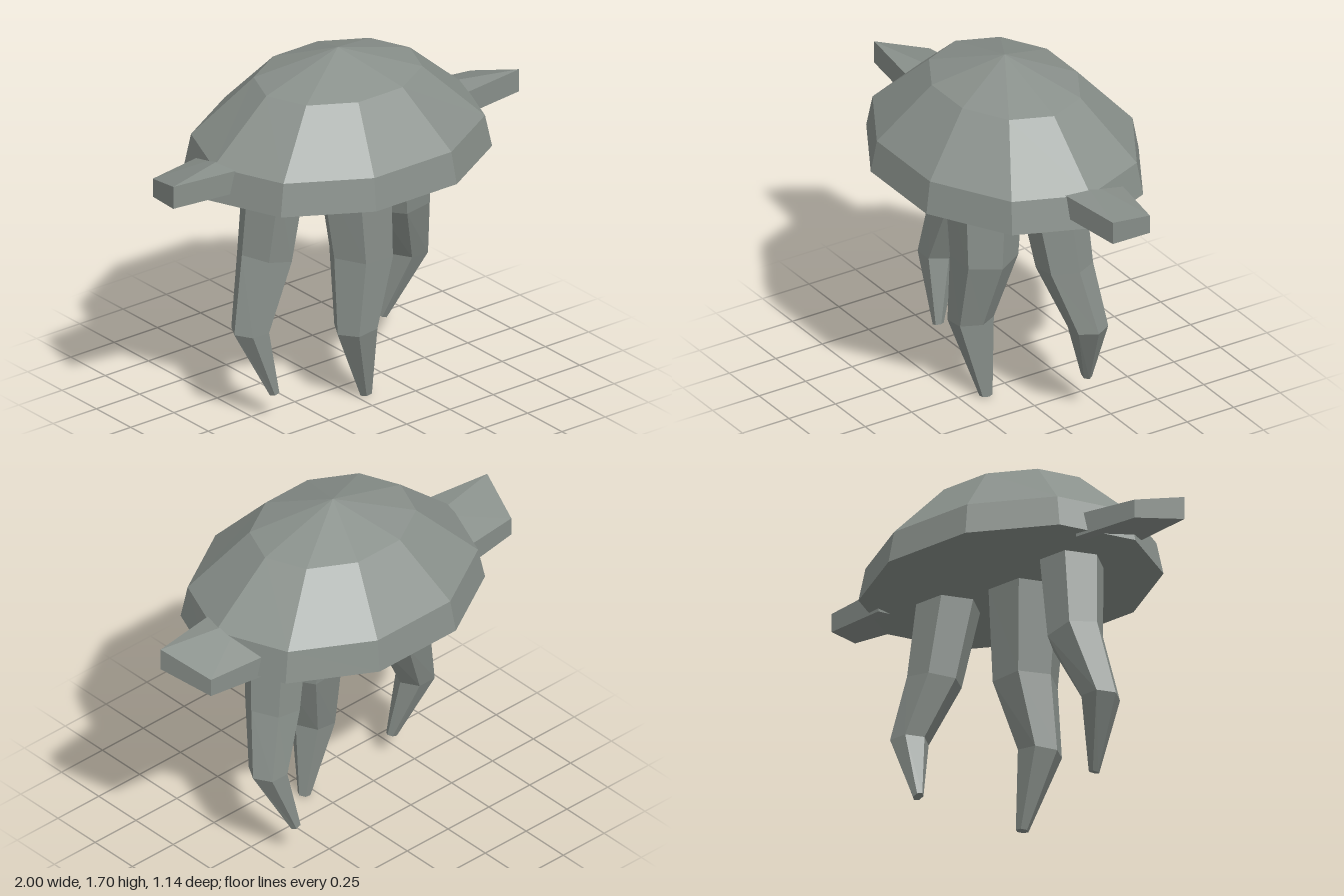
import * as THREE from 'three';

const V = (x, y, z) => new THREE.Vector3(x, y, z);

// Flat-faced skin over a stack of rings (bottom to top), closed by fans at both ends
function loft(rings, bottom, top) {
  const pos = [];
  const tri = (a, b, c) => {
    const area = b.clone().sub(a).cross(c.clone().sub(a)).length();
    if (area > 1e-7) for (const p of [a, b, c]) pos.push(p.x, p.y, p.z);
  };
  const n = rings[0].length;
  const last = rings[rings.length - 1];
  for (let i = 0; i < n; i++) {
    const j = (i + 1) % n;
    for (let r = 0; r < rings.length - 1; r++) {
      const lo = rings[r], hi = rings[r + 1];
      tri(lo[i], hi[i], hi[j]);
      tri(lo[i], hi[j], lo[j]);
    }
    tri(bottom, rings[0][i], rings[0][j]);
    tri(top, last[j], last[i]);
  }
  const geo = new THREE.BufferGeometry();
  geo.setAttribute('position', new THREE.Float32BufferAttribute(pos, 3));
  geo.computeVertexNormals();
  return geo;
}

// Elliptical ring of n points, optionally tilted along x
function ring(n, x, y, z, rx, rz, tilt = 0) {
  return Array.from({ length: n }, (_, i) => {
    const a = (i / n) * Math.PI * 2;
    const dx = Math.cos(a) * rx;
    return V(x + dx, y + dx * tilt, z + Math.sin(a) * rz);
  });
}

export function createModel() {
  const group = new THREE.Group();
  const skin = new THREE.MeshStandardMaterial({ color: 0x89908b });
  skin.name = 'greyGreenSkin';
  const add = (name, geo) => {
    const mesh = new THREE.Mesh(geo, skin);
    mesh.name = name;
    group.add(mesh);
  };

  // Ten-sided bell
  const bell = [[1.165, 0.755, 0.6], [1.32, 0.72, 0.573], [1.585, 0.415, 0.326]];
  add('bell', loft(bell.map(([y, rx, rz]) => ring(10, 0, y, 0, rx, rz)), V(0, 1.165, 0), V(0, 1.71, 0)));

  // Side fins: x, z, lower y, upper y of each corner; the third is the root ridge
  const corners = [
    [1, 0.06, 1.215, 1.325],
    [0.6, 0.113, 1.215, 1.325],
    [0.6, -0.03, 1.185, 1.34],
    [0.6, -0.23, 1.15, 1.26],
    [0.92, -0.19, 1.16, 1.25],
  ];
  for (const side of [1, -1]) {
    const lower = corners.map(([x, z, lo]) => V(side * x, lo, z));
    const upper = corners.map(([x, z, , hi]) => V(side * x, hi, z));
    const [b, t] = [lower[2], upper[2]];
    if (side < 0) { lower.reverse(); upper.reverse(); }
    add(side > 0 ? 'leftFin' : 'rightFin', loft([lower, upper], b, t));
  }

  // Hexagonal tentacles, from tip to root: x, y, z, radius, tilt
  const tentacles = {
    frontTentacle: [
      [0.053, 0.01, 0.135, 0.03, 0.15],
      [-0.028, 0.38, 0.165, 0.105, 0.12],
      [0.03, 0.728, 0.13, 0.155, -0.05],
      [0, 1.18, 0.11, 0.185],
    ],
    leftTentacle: [
      [0.398, 0.178, -0.185, 0.025, -0.4],
      [0.508, 0.503, -0.122, 0.092],
      [0.418, 0.8, -0.053, 0.13, 0.15],
      [0.365, 1.18, -0.015, 0.153],
    ],
    rightTentacle: [
      [-0.432, 0.135, 0.08, 0.025, 0.3],
      [-0.525, 0.455, 0.022, 0.092],
      [-0.408, 0.785, -0.02, 0.132, -0.25],
      [-0.368, 1.18, 0, 0.153],
    ],
  };
  for (const [name, rows] of Object.entries(tentacles)) {
    const rings = rows.map(([x, y, z, r, tilt]) => ring(6, x, y, z, r, r, tilt));
    const [tip, root] = [rows[0], rows[3]].map(([x, y, z]) => V(x, y, z));
    add(name, loft(rings, tip, root));
  }
  return group;
}
